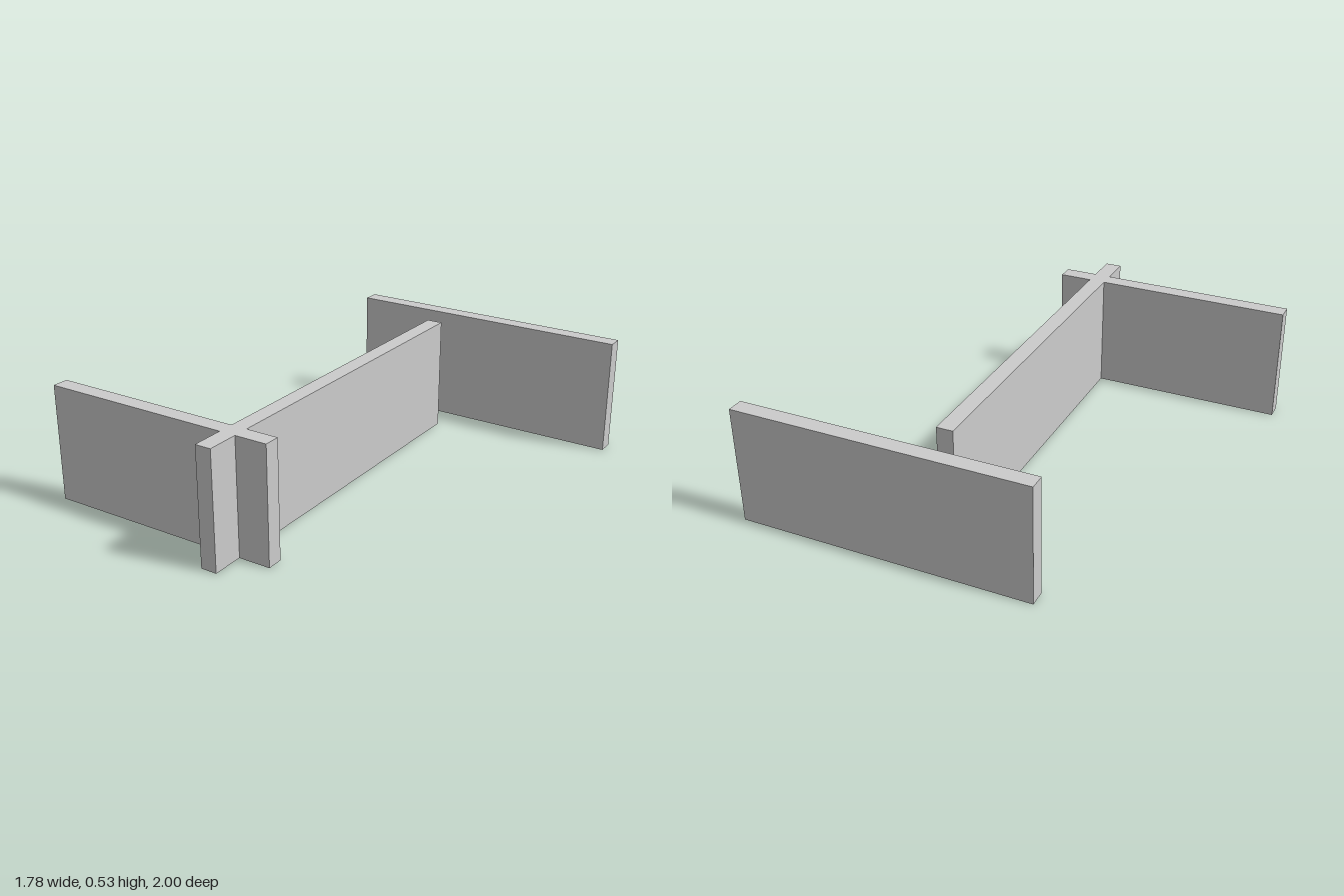
import * as THREE from 'three';

const HEIGHT = 0.533;

// Upright wall extruded from a floor plan of [x, z] corners
function wall(name, plan, material) {
  const shape = new THREE.Shape(plan.map(([x, z]) => new THREE.Vector2(x, -z)));
  const geometry = new THREE.ExtrudeGeometry(shape, { depth: HEIGHT, bevelEnabled: false });
  geometry.rotateX(-Math.PI / 2);
  const mesh = new THREE.Mesh(geometry, material);
  mesh.name = name;
  return mesh;
}

export function createModel() {
  const group = new THREE.Group();
  group.name = 'partitionWalls';
  const material = new THREE.MeshStandardMaterial({ color: 0xcccccc, flatShading: true });

  // Long wall and the shorter wall crossing it near the front, as one piece
  const [x0, x1] = [0, 0.074]; // long wall faces
  const [z0, z1] = [0.778, 0.852]; // crossing wall faces
  const [left, right] = [0.222, -0.889]; // crossing wall ends
  const [back, front] = [-0.778, 1]; // long wall ends
  group.add(wall('crossedWalls', [
    [x0, front], [x1, front], [x1, z1], [left, z1], [left, z0], [x1, z0],
    [x1, back], [x0, back], [x0, z0], [right, z0], [right, z1], [x0, z1],
  ], material));

  // Free-standing wall at the back
  group.add(wall('backWall', [
    [-0.444, -0.926], [0.889, -0.926], [0.889, -1], [-0.444, -1],
  ], material));

  return group;
}
